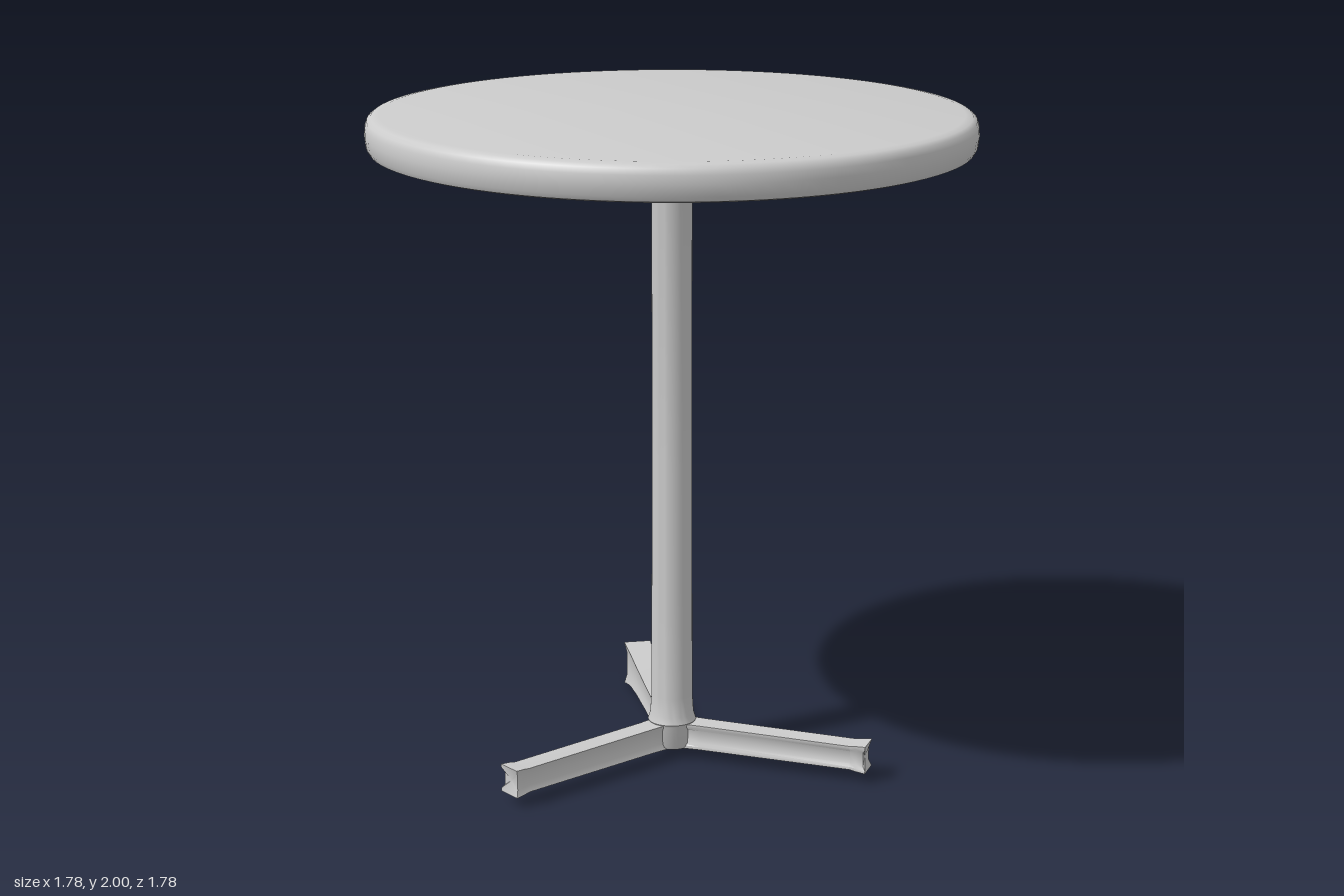
import * as THREE from 'three';
import { toCreasedNormals } from 'three/addons/utils/BufferGeometryUtils.js';

const material = new THREE.MeshStandardMaterial({ color: 0xcccccc });

function part(name, geometry) {
  const mesh = new THREE.Mesh(toCreasedNormals(geometry, 0.6), material);
  mesh.name = name;
  return mesh;
}

// Turned part from [radius, y] pairs, listed bottom to top
function turned(name, points, sides) {
  return part(name, new THREE.LatheGeometry(points.map(([r, y]) => new THREE.Vector2(r, y)), sides));
}

// Leg bar along +x: stations are [x, bottom, top, half width]
function legGeometry(stations) {
  const pos = [], idx = [], n = 10;
  const last = stations.length - 1;
  stations.forEach(([x, lo, hi, w], i) => {
    const lip = (hi - lo) * 0.12, waist = w * 0.82;
    const section = [
      [hi, -w], [hi, w], [hi - lip, w], [hi - 2 * lip, waist], [lo + 2 * lip, waist],
      [lo + lip, w], [lo, w], [lo, -w], [lo + 2 * lip, -waist], [hi - 2 * lip, -waist],
    ];
    section.forEach(([y, z]) => {
      // the tip is slightly hollow between its upper and lower lips
      const hollow = i === last && y < hi - lip && y > lo + lip ? 0.008 : 0;
      pos.push(x - hollow, y, z);
    });
    if (i === last) return;
    for (let j = 0; j < n; j++) {
      const a = i * n + j, b = i * n + (j + 1) % n;
      idx.push(a, b, b + n, a, b + n, a + n);
    }
  });
  // end cap
  const [x, lo, hi] = stations[last];
  pos.push(x - 0.01, (lo + hi) / 2, 0);
  for (let j = 0; j < n; j++) idx.push((last + 1) * n, last * n + j, last * n + (j + 1) % n);
  const g = new THREE.BufferGeometry();
  g.setAttribute('position', new THREE.Float32BufferAttribute(pos, 3));
  g.setIndex(idx);
  return g;
}

export function createModel() {
  const group = new THREE.Group();
  group.name = 'pedestalTable';

  // Round top with softened rims and a slightly dished underside
  group.add(turned('tableTop', [
    [0, 1.88], [0.31, 1.882], [0.6, 1.887], [0.865, 1.893], [0.88, 1.898], [0.888, 1.912],
    [0.892, 1.945], [0.89, 1.97], [0.884, 1.987], [0.872, 1.996], [0.85, 2], [0, 2],
  ], 96));

  // Mounting collar under the top
  group.add(turned('collar', [[0, 1.8], [0.242, 1.8], [0.249, 1.807], [0.25, 1.89]], 64));

  // Column with a fillet into the base
  group.add(turned('column', [
    [0, 0.036], [0.062, 0.036], [0.068, 0.045], [0.07, 0.11], [0.074, 0.118], [0.067, 0.14], [0.063, 0.2],
    [0.062, 0.5], [0.06, 0.9], [0.06, 1.76], [0.064, 1.785], [0.07, 1.81],
  ], 40));

  // Three legs; the rear one flares toward its tip
  const straight = [[0, 0.036, 0.116, 0.038], [0.1, 0.037, 0.115, 0.034], [0.58, 0.038, 0.113, 0.034], [0.6, 0.035, 0.116, 0.036], [0.63, 0.032, 0.118, 0.038]];
  const flared = [[0, 0.036, 0.116, 0.038], [0.1, 0.037, 0.115, 0.033], [0.3, 0.034, 0.117, 0.034], [0.45, 0.028, 0.122, 0.036], [0.56, 0.018, 0.13, 0.038], [0.61, 0.008, 0.138, 0.042], [0.64, 0, 0.142, 0.044]];
  [['leftLeg', -10, straight], ['frontLeg', 110, straight], ['rearLeg', 230, flared]].forEach(([name, angle, stations]) => {
    const leg = part(name, legGeometry(stations));
    leg.rotation.y = -THREE.MathUtils.degToRad(angle);
    group.add(leg);
  });

  return group;
}
